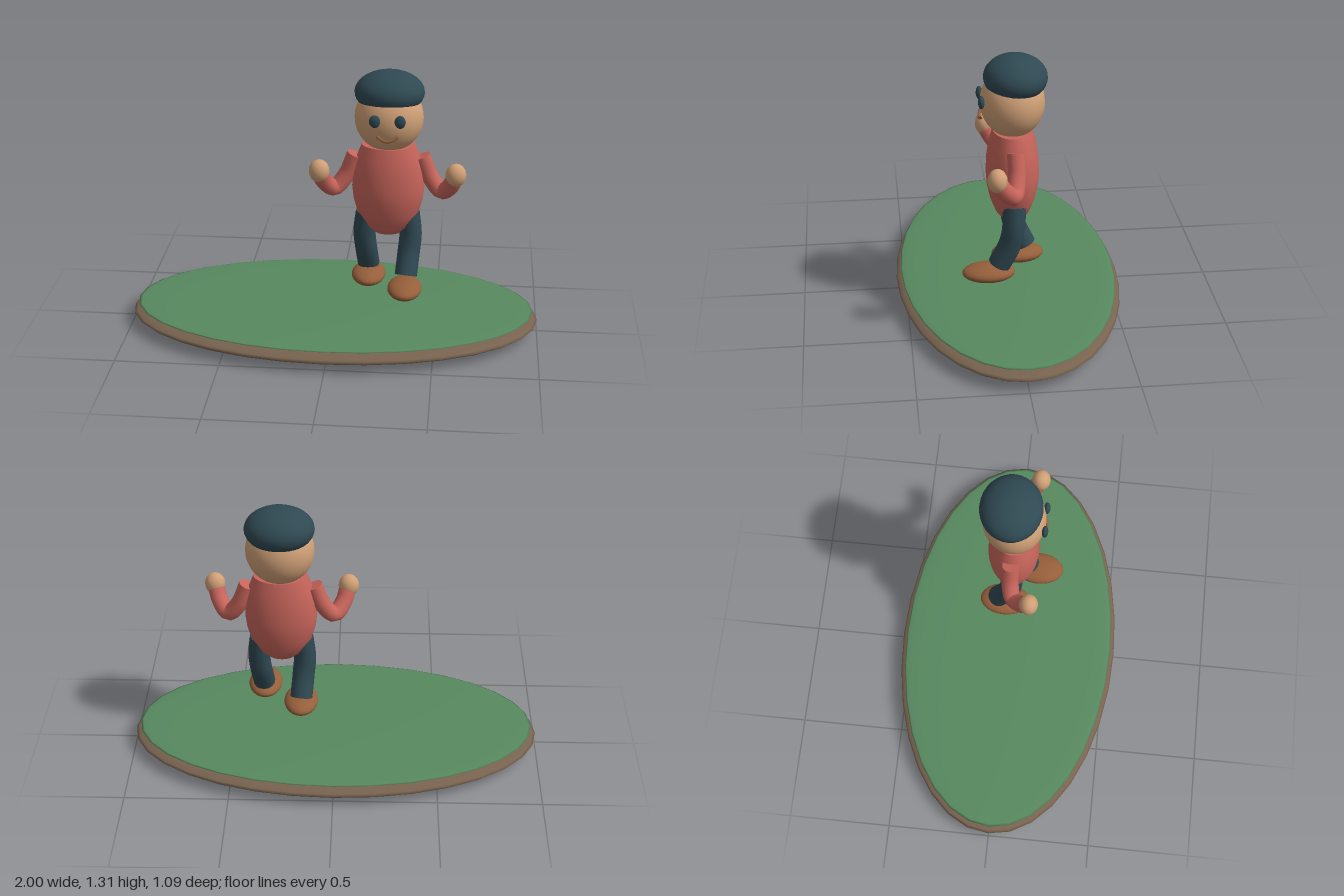
import * as THREE from 'three';
import { mergeGeometries } from 'three/addons/utils/BufferGeometryUtils.js';

const mat = (name, color) => {
  const m = new THREE.MeshStandardMaterial({ color });
  m.name = name;
  return m;
};

// Tube along a smooth path with flat discs closing both ends.
function limbGeometry(points, radius) {
  const curve = new THREE.CatmullRomCurve3(points.map((p) => new THREE.Vector3(...p)));
  const parts = [new THREE.TubeGeometry(curve, 20, radius, 16, false)];
  for (const [t, sign] of [[0, -1], [1, 1]]) {
    const dir = curve.getTangent(t).multiplyScalar(sign);
    const cap = new THREE.CircleGeometry(radius, 16);
    cap.applyQuaternion(new THREE.Quaternion().setFromUnitVectors(new THREE.Vector3(0, 0, 1), dir));
    const c = curve.getPoint(t);
    cap.translate(c.x, c.y, c.z);
    parts.push(cap);
  }
  return mergeGeometries(parts);
}

export function createModel() {
  const grass = mat('grass green', 0x57895f);
  const soil = mat('soil brown', 0x78634f);
  const skin = mat('skin tan', 0xd0a077);
  const shirt = mat('shirt red', 0xc8655b);
  const navy = mat('dark slate', 0x2f4952);
  const leather = mat('shoe brown', 0x965f3b);

  const model = new THREE.Group();
  const add = (parent, name, geometry, material) => {
    const mesh = new THREE.Mesh(geometry, material);
    mesh.name = name;
    parent.add(mesh);
    return mesh;
  };
  const ellipsoid = (parent, name, material, pos, radii, w = 32, h = 20) => {
    const mesh = add(parent, name, new THREE.SphereGeometry(1, w, h), material);
    mesh.position.set(...pos);
    mesh.scale.set(...radii);
    return mesh;
  };

  // Oval ground with a thin grass layer
  ellipsoid(model, 'soilBase', soil, [0, 0.06, 0], [1, 0.06, 0.546]);
  ellipsoid(model, 'grassTop', grass, [0, 0.105, 0], [0.976, 0.019, 0.524]);

  // Walking figure, set off-centre
  const figure = new THREE.Group();
  figure.name = 'figure';
  figure.position.x = 0.26;
  model.add(figure);

  // Torso: egg-shaped lathe flattened front to back
  const profile = [
    [0, 0.493], [0.06, 0.505], [0.11, 0.545], [0.146, 0.61], [0.166, 0.68],
    [0.173, 0.74], [0.168, 0.82], [0.153, 0.89], [0.128, 0.955],
  ].map((p) => new THREE.Vector2(...p));
  const torso = add(figure, 'torso', new THREE.LatheGeometry(profile, 32), shirt);
  torso.scale.z = 0.715;
  const collar = add(figure, 'torsoTop', new THREE.CircleGeometry(0.128, 32).rotateX(-Math.PI / 2), shirt);
  collar.position.y = 0.955;
  collar.scale.z = 0.715;

  // Head and hair
  ellipsoid(figure, 'head', skin, [0, 1.09, 0], [0.163, 0.165, 0.149]);
  ellipsoid(figure, 'hair', navy, [0, 1.21, -0.014], [0.165, 0.102, 0.147]);

  // Smile
  const smile = new THREE.QuadraticBezierCurve3(
    new THREE.Vector3(-0.048, 1.041, 0.141),
    new THREE.Vector3(0, 0.998, 0.166),
    new THREE.Vector3(0.048, 1.041, 0.141),
  );
  add(figure, 'mouth', new THREE.TubeGeometry(smile, 12, 0.007, 8), leather);

  for (const s of [1, -1]) {
    const side = s > 0 ? 'left' : 'right';

    ellipsoid(figure, side + 'Eye', navy, [s * 0.059, 1.115, 0.147], [0.026, 0.031, 0.015], 16, 12);

    // Bent arm with raised hand
    add(figure, side + 'Arm', limbGeometry([
      [s * 0.158, 0.9, 0], [s * 0.2, 0.795, 0], [s * 0.255, 0.733, 0.018],
      [s * 0.298, 0.775, 0.062], [s * 0.318, 0.835, 0.098],
    ], 0.041), shirt);
    ellipsoid(figure, side + 'Hand', skin, [s * 0.322, 0.845, 0.1], [0.049, 0.056, 0.045], 20, 14);

    // Striding leg: left steps forward, right trails
    add(figure, side + 'Leg', limbGeometry([
      [s * 0.1, 0.61, 0], [s * 0.112, 0.5, s * 0.005],
      [s * 0.105, 0.41, s * 0.022], [s * 0.095, 0.305, s * 0.07],
    ], 0.054), navy);
    ellipsoid(figure, side + 'Shoe', leather, [s * 0.092, 0.262, s > 0 ? 0.121 : -0.035], [0.083, 0.041, 0.125], 24, 16);
  }

  return model;
}
